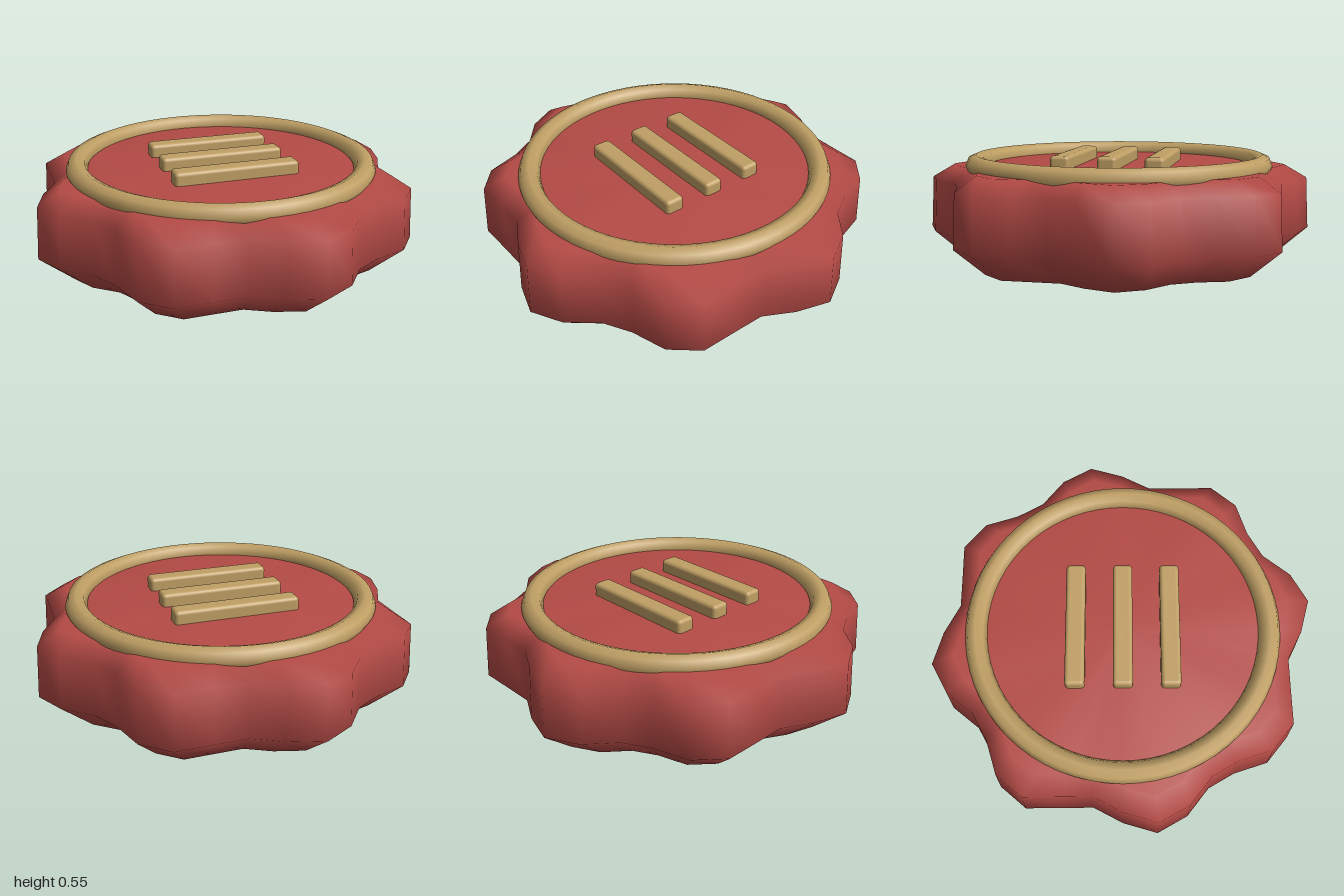
import * as THREE from 'three';
import { mergeVertices } from 'three/addons/utils/BufferGeometryUtils.js';
import { RoundedBoxGeometry } from 'three/addons/geometries/RoundedBoxGeometry.js';

const waxRed = new THREE.MeshStandardMaterial({ name: 'waxRed', color: 0xb54b46 });
const oldGold = new THREE.MeshStandardMaterial({ name: 'oldGold', color: 0xbf9f64 });

function addPart(parent, name, geometry, material, x, y, z) {
  const mesh = new THREE.Mesh(geometry, material);
  mesh.name = name;
  mesh.position.set(x, y, z);
  parent.add(mesh);
  return mesh;
}

// Turned disc whose radius swells and shrinks in eight soft lobes
function lobedDisc() {
  const profile = [[0, 0], [0.83, 0], [1, 0.145], [0.985, 0.415], [0.867, 0.485], [0, 0.485]]
    .map(([r, y]) => new THREE.Vector2(r, y));
  const lathe = new THREE.LatheGeometry(profile, 36);
  const pos = lathe.attributes.position;
  for (let i = 0; i < pos.count; i++) {
    const x = pos.getX(i), z = pos.getZ(i);
    const swell = 0.95 + 0.067 * Math.sin(8 * Math.atan2(x, z));
    pos.setX(i, x * swell);
    pos.setZ(i, z * swell);
  }
  // Weld the seam and the centres so the shading is smooth all round
  lathe.deleteAttribute('uv');
  lathe.deleteAttribute('normal');
  const disc = mergeVertices(lathe, 1e-4);
  disc.computeVertexNormals();
  return disc;
}

export function createModel() {
  const model = new THREE.Group();
  model.name = 'waxSeal';

  addPart(model, 'waxBody', lobedDisc(), waxRed, 0, 0, 0);

  // Raised border
  const border = new THREE.TorusGeometry(0.753, 0.056, 8, 64);
  border.rotateX(-Math.PI / 2);
  addPart(model, 'borderRing', border, oldGold, 0, 0.49, 0);

  // Three raised bars across the face
  const bar = new RoundedBoxGeometry(0.655, 0.1, 0.1, 3, 0.02);
  ['backBar', 'middleBar', 'frontBar'].forEach((name, i) => {
    addPart(model, name, bar, oldGold, 0, 0.502, (i - 1) * 0.242);
  });

  return model;
}
